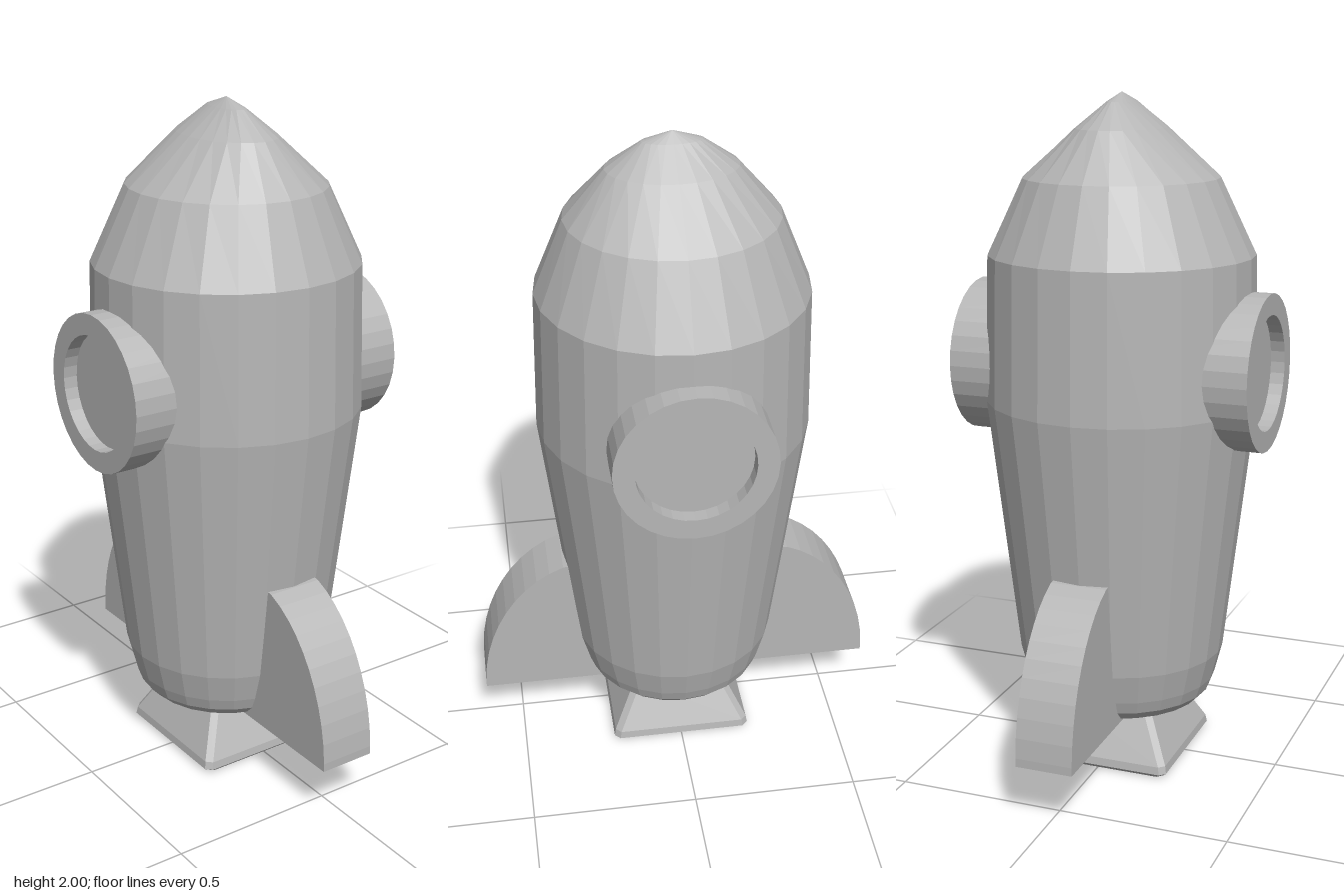
import * as THREE from 'three';

const grey = new THREE.MeshStandardMaterial({ color: 0xb6b6b6 });
grey.name = 'plain grey';

// Faceted mesh: every face gets its own normal
function part(name, geometry) {
  const flat = geometry.index ? geometry.toNonIndexed() : geometry;
  flat.computeVertexNormals();
  const mesh = new THREE.Mesh(flat, grey);
  mesh.name = name;
  return mesh;
}

const lathe = (points, sides, start = 0) =>
  new THREE.LatheGeometry(points.map(([r, y]) => new THREE.Vector2(r, y)), sides, start);

// Body: round hull whose nose narrows across x. Rows are [z radius, y, x radius]
function makeBody() {
  const rows = [
    [0, 0.175, 0], [0.22, 0.175, 0.22], [0.25, 0.185, 0.25], [0.275, 0.212, 0.275],
    [0.289, 0.25, 0.289], [0.312, 0.34, 0.312], [0.402, 1.11, 0.402], [0.392, 1.54, 0.392],
    [0.303, 1.76, 0.285], [0.185, 1.9, 0.125], [0.085, 1.973, 0.035], [0, 2, 0],
  ];
  const geometry = lathe(rows, 24);
  const pos = geometry.attributes.position;
  for (let i = 0; i < pos.count; i++) {
    const [rz, , rx] = rows[i % rows.length];
    if (rz > 0) pos.setX(i, pos.getX(i) * rx / rz);
  }
  return part('body', geometry);
}

// Porthole: raised ring with a sunken pane, facing sideways
function makePorthole(side) {
  const geometry = lathe([[0.23, 0.2], [0.23, 0.452], [0.168, 0.452], [0.168, 0.41], [0, 0.41]], 32);
  geometry.rotateZ(-side * Math.PI / 2);
  geometry.translate(0, 1.215, 0);
  return part(side > 0 ? 'leftPorthole' : 'rightPorthole', geometry);
}

// Fin: thick plate with a curved outer edge
function makeFin(front) {
  const shape = new THREE.Shape();
  shape.moveTo(0.2, 0.175);
  shape.lineTo(0.613, 0.175);
  shape.lineTo(0.613, 0.2);
  shape.bezierCurveTo(0.605, 0.4, 0.5, 0.575, 0.35, 0.63);
  shape.lineTo(0.2, 0.65);
  const geometry = new THREE.ExtrudeGeometry(shape, { depth: 0.17, bevelEnabled: false, curveSegments: 10 });
  geometry.translate(0, 0, -0.085);
  geometry.rotateY(front ? -Math.PI / 2 : Math.PI / 2);
  return part(front ? 'frontFin' : 'backFin', geometry);
}

// Nozzle: hollow square flare with bevelled corners and rim
function makeNozzle() {
  const geometry = lathe([
    [0, 0.1], [0.125, 0.1], [0.172, 0.008], [0.18, 0], [0.205, 0],
    [0.217, 0.012], [0.213, 0.035], [0.14, 0.175], [0.13, 0.19],
  ], 8, Math.PI / 8);
  const pos = geometry.attributes.position;
  // Turn each octagon into a square with small corner cuts
  for (let i = 0; i < pos.count; i++) {
    const x = pos.getX(i), z = pos.getZ(i), half = Math.hypot(x, z);
    const cut = Math.max(0, half - 0.017);
    const xIsLong = Math.abs(x) > Math.abs(z);
    pos.setX(i, Math.sign(x) * (xIsLong ? half : cut));
    pos.setZ(i, Math.sign(z) * (xIsLong ? cut : half));
  }
  return part('nozzle', geometry);
}

export function createModel() {
  const rocket = new THREE.Group();
  rocket.name = 'rocket';
  rocket.add(makeBody(), makeNozzle());
  for (const side of [1, -1]) rocket.add(makePorthole(side), makeFin(side > 0));
  return rocket;
}
